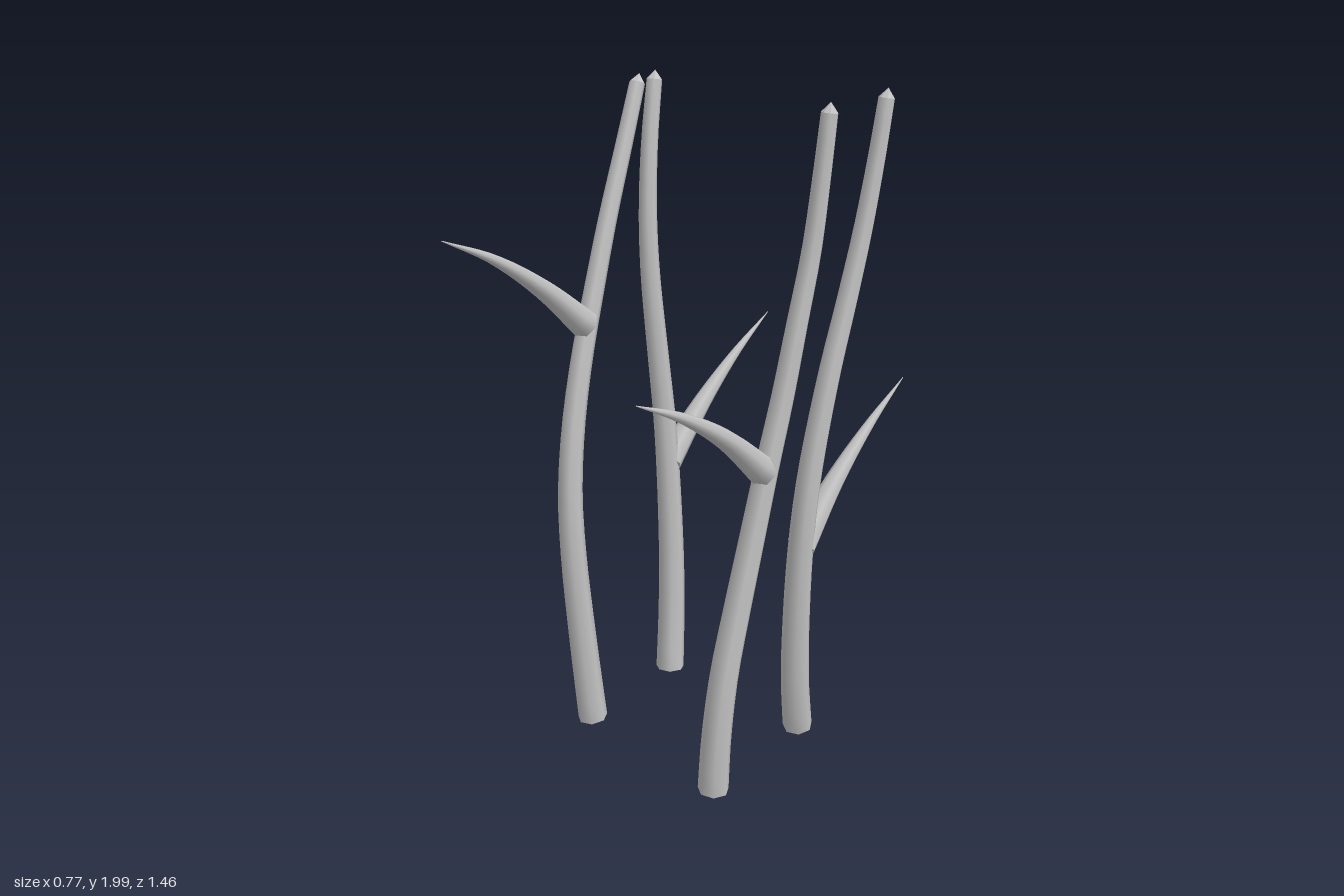
import * as THREE from 'three';

const SIDES = 7;
const grey = new THREE.MeshStandardMaterial({ color: 0xc2c2c2 });
grey.name = 'pale grey';

// Tapered tube swept along a smooth path, closed with small pointed caps
function sweep(points, radiusAt, segments, capStart, capEnd) {
  const curve = new THREE.CatmullRomCurve3(points.map(p => new THREE.Vector3(...p)));
  const positions = [], index = [];
  const push = v => positions.push(v.x, v.y, v.z) / 3 - 1;
  const ring = t => {
    const c = curve.getPointAt(t), T = curve.getTangentAt(t);
    const N = new THREE.Vector3(1, 0, 0).addScaledVector(T, -T.x).normalize();
    const B = new THREE.Vector3().crossVectors(T, N);
    const r = radiusAt(t);
    const out = [];
    for (let j = 0; j < SIDES; j++) {
      const a = (j / SIDES) * Math.PI * 2;
      out.push(c.clone().addScaledVector(N, r * Math.cos(a)).addScaledVector(B, r * Math.sin(a)));
    }
    return out;
  };

  // Side wall
  for (let i = 0; i <= segments; i++) ring(i / segments).forEach(push);
  for (let i = 0; i < segments; i++) {
    for (let j = 0; j < SIDES; j++) {
      const k = (j + 1) % SIDES;
      const a = i * SIDES + j, b = i * SIDES + k;
      index.push(a, b, a + SIDES, b, b + SIDES, a + SIDES);
    }
  }

  // Faceted pointed caps
  const cap = (t, length) => {
    const apex = curve.getPointAt(t).addScaledVector(curve.getTangentAt(t), t ? length : -length);
    const rim = ring(t);
    rim.forEach((p, j) => {
      const q = rim[(j + 1) % SIDES];
      index.push(push(apex), push(t ? p : q), push(t ? q : p));
    });
  };
  if (capStart) cap(0, capStart);
  if (capEnd) cap(1, capEnd);

  const geometry = new THREE.BufferGeometry();
  geometry.setAttribute('position', new THREE.Float32BufferAttribute(positions, 3));
  geometry.setIndex(index);
  geometry.computeVertexNormals();
  return geometry;
}

// Each stem: side of the model, [y, z] path of the stalk, [x, y, z] path of the thorn
const stems = [
  { name: 'leftFront', side: 1,
    stalk: [[0.025, 0.35], [0.2, 0.345], [0.4, 0.32], [0.6, 0.27], [0.8, 0.215], [1, 0.16],
      [1.2, 0.1], [1.4, 0.05], [1.6, 0], [1.8, -0.027], [1.97, -0.045]],
    thorn: [[0.313, 0.995, 0.17], [0.313, 1.15, 0.35], [0.313, 1.268, 0.535], [0.313, 1.355, 0.715]] },
  { name: 'rightFront', side: -1,
    stalk: [[0.025, 0.265], [0.3, 0.285], [0.6, 0.3], [0.8, 0.295], [1, 0.262], [1.2, 0.205],
      [1.4, 0.13], [1.6, 0.05], [1.8, -0.04], [1.97, -0.115]],
    thorn: [[-0.332, 1.305, 0.18], [-0.332, 1.455, 0.355], [-0.332, 1.58, 0.54], [-0.332, 1.67, 0.725]] },
  { name: 'leftBack', side: 1,
    stalk: [[0.025, -0.09], [0.2, -0.06], [0.4, -0.045], [0.67, -0.043], [0.9, -0.065], [1.2, -0.135],
      [1.4, -0.2], [1.6, -0.26], [1.8, -0.305], [1.97, -0.335]],
    thorn: [[0.3, 0.675, -0.05], [0.3, 0.825, -0.22], [0.3, 0.95, -0.41], [0.3, 1.05, -0.605]] },
  { name: 'rightBack', side: -1,
    stalk: [[0.025, -0.13], [0.2, -0.15], [0.4, -0.165], [0.7, -0.17], [0.9, -0.165], [1.1, -0.15],
      [1.4, -0.13], [1.6, -0.135], [1.8, -0.16], [1.97, -0.195]],
    thorn: [[-0.31, 0.755, -0.18], [-0.31, 0.905, -0.36], [-0.31, 1.025, -0.54], [-0.31, 1.122, -0.725]] },
];

export function createModel() {
  const group = new THREE.Group();
  group.name = 'thornyStems';
  for (const { name, side, stalk, thorn } of stems) {
    const stem = new THREE.Group();
    stem.name = name + 'Stem';

    // Tall stalk leaning outward and thinning towards the top
    const path = stalk.map(([y, z]) => [side * (0.273 + 0.045 * y), y, z]);
    const stalkMesh = new THREE.Mesh(sweep(path, t => 0.047 - 0.023 * t, 28, 0.022, 0.028), grey);
    stalkMesh.name = name + 'Stalk';

    // Curved thorn tapering to a point
    const thornMesh = new THREE.Mesh(sweep(thorn, t => 0.044 * (1 - t) + 0.0012, 14, 0.025, 0.003), grey);
    thornMesh.name = name + 'Thorn';

    stem.add(stalkMesh, thornMesh);
    group.add(stem);
  }
  return group;
}
